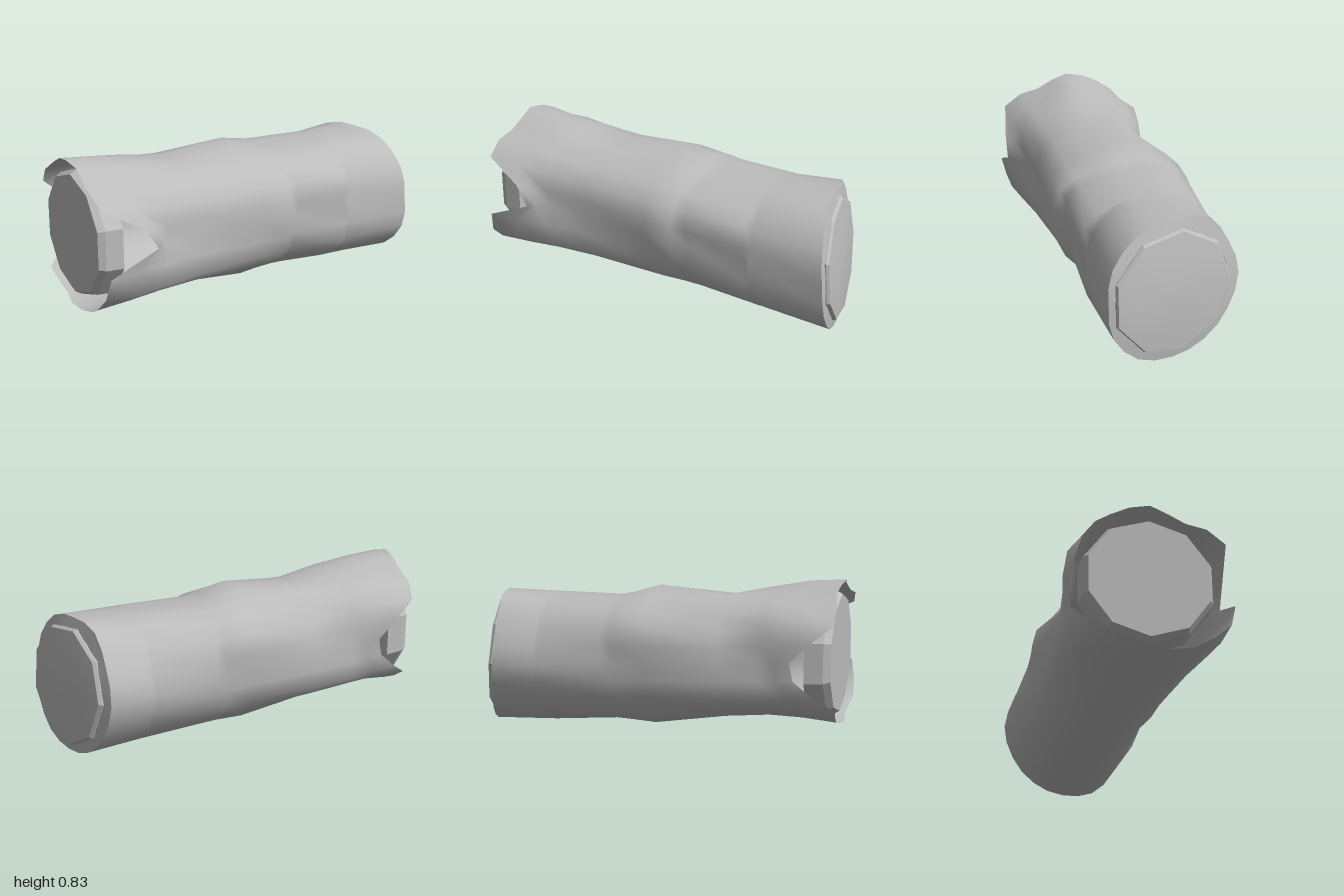
import * as THREE from 'three';

const grey = new THREE.MeshStandardMaterial({ color: 0xbcbcbc, side: THREE.DoubleSide });
grey.name = 'weatheredGrey';

// Bark radii every 30 degrees, from the front over the top: [x, r0 ... r330]
const SECTIONS = [
  [-1.00, .41, .435, .355, .385, .38, .38, .36, .37, .36, .37, .405, .445],
  [-0.85, .38, .42, .355, .380, .36, .42, .36, .37, .34, .345, .37, .45],
  [-0.63, .34, .40, .36, .355, .36, .38, .33, .38, .33, .325, .35, .43],
  [-0.40, .33, .36, .33, .310, .35, .31, .33, .38, .34, .335, .35, .40],
  [-0.02, .36, .40, .36, .370, .38, .41, .33, .35, .37, .385, .36, .37],
  [0.14, .38, .40, .34, .330, .37, .40, .34, .36, .36, .360, .35, .37],
  [0.20, .32, .38, .33, .310, .36, .39, .35, .36, .36, .350, .35, .34],
  [0.54, .32, .38, .35, .330, .36, .36, .38, .36, .36, .373, .36, .37],
  [0.565, .32, .34, .35, .330, .36, .36, .385, .36, .36, .373, .36, .37],
  [0.95, .335, .36, .37, .360, .39, .36, .37, .36, .36, .360, .37, .36],
];

// Broken left edge: columns (15 degrees each) where the bark is torn back
const TORN = { 0: -.71, 1: -.78, 23: -.97, 11: -.88, 12: -.78, 13: -.8, 14: -.9 };

const centreY = x => .405 - .045 * x;
const centreZ = x => -.02 - .07 * x;
// Slanted saw cut at the right end
const cutX = (y, z) => .88 + .27 * (z + .09) - .08 * (y - .36);

function ringPoint(x, r, angle) {
  return new THREE.Vector3(x, centreY(x) + r * Math.sin(angle), centreZ(x) + r * Math.cos(angle));
}

// Skins closed rings ordered from left to right
function loft(name, rings, flat = false) {
  const n = rings[0].length, index = [];
  for (let i = 0; i < rings.length - 1; i++) {
    for (let j = 0; j < n; j++) {
      const k = (j + 1) % n, a = i * n, b = a + n;
      index.push(a + j, b + j, a + k, b + j, b + k, a + k);
    }
  }
  let geometry = new THREE.BufferGeometry().setFromPoints(rings.flat());
  geometry.setIndex(index);
  if (flat) geometry = geometry.toNonIndexed();
  geometry.computeVertexNormals();
  const mesh = new THREE.Mesh(geometry, grey);
  mesh.name = name;
  return mesh;
}

function barkRings() {
  const last = SECTIONS.length - 1;
  return SECTIONS.map(([x, ...radii], i) => Array.from({ length: 24 }, (_, j) => {
    const h = j >> 1;
    const r = j % 2 ? (radii[h] + radii[(h + 1) % 12]) / 2 : radii[h];
    const p = ringPoint(x, r, j * Math.PI / 12);
    const edge = TORN[j] ?? -1 + .01 * (j % 3);
    if (i === 0) p.x = edge;
    if (i === 1) p.x = (edge - .63) / 2;
    if (i === last) p.x = cutX(p.y, p.z);
    return p;
  }));
}

function woodRing(x, r, sides, offset = null) {
  return Array.from({ length: sides }, (_, j) => {
    const p = ringPoint(x, r, (j + .5) * Math.PI * 2 / sides);
    if (offset !== null) p.x = cutX(p.y, p.z) + offset;
    return p;
  });
}

export function createModel() {
  const log = new THREE.Group();
  log.name = 'log';

  // Hollow bark shell, its sawn end closing in on the wood
  const bark = barkRings();
  log.add(loft('bark', bark));
  const outer = bark[bark.length - 1];
  const lip = outer.map((_, j) => {
    const p = ringPoint(.95, .305, j * Math.PI / 12);
    p.x = cutX(p.y, p.z) + .012;
    return p;
  });
  log.add(loft('barkLip', [outer, lip]));

  // Slanted, slightly domed right end of the wood
  const edge = woodRing(.95, .31, 9, .032);
  log.add(loft('rightWoodSide', [woodRing(.95, .32, 9, -.04), woodRing(.95, .32, 9, .016), edge], true));
  log.add(loft('rightWoodFace', [edge, woodRing(.95, .18, 9, .048), woodRing(.95, 0, 9, .052)]));

  // Flat left end of the wood, a short bevelled disc
  const leftEdge = woodRing(-.98, .31, 10);
  log.add(loft('leftWoodFace', [woodRing(-.98, 0, 10), leftEdge], true));
  log.add(loft('leftWoodSide', [leftEdge, woodRing(-.945, .33, 10), woodRing(-.85, .335, 10)], true));
  return log;
}
